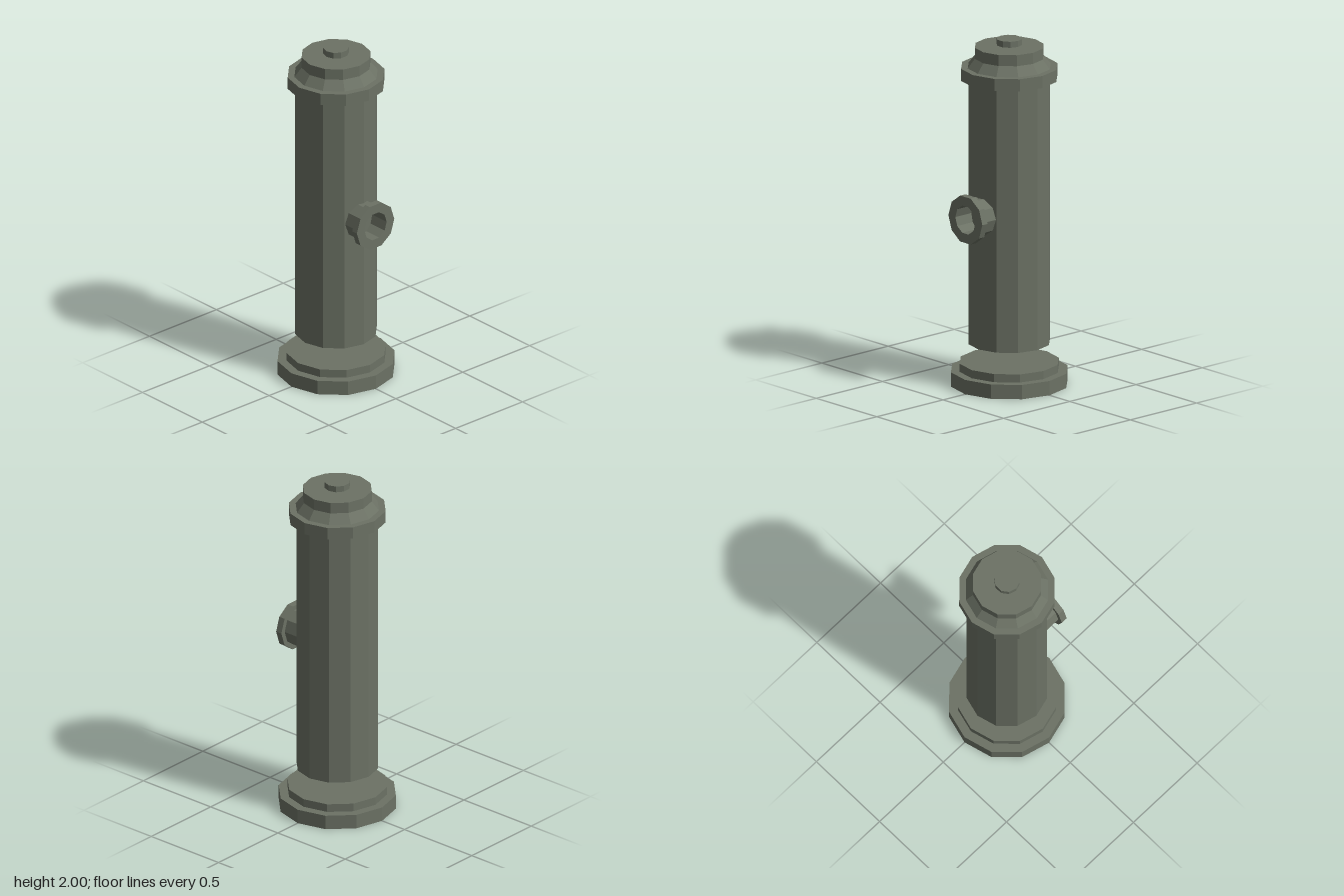
import * as THREE from 'three';

export function createModel() {
  const group = new THREE.Group();
  group.name = 'hydrant';
  const paint = new THREE.MeshStandardMaterial({ color: 0x6c7265 });
  paint.name = 'grey green paint';

  // Adds a mesh with hard facets
  function add(name, geometry) {
    const faceted = geometry.toNonIndexed();
    faceted.computeVertexNormals();
    const mesh = new THREE.Mesh(faceted, paint);
    mesh.name = name;
    group.add(mesh);
    return mesh;
  }

  // Upright discs and barrels: name, bottom y, top y, bottom radius, top radius, sides
  const stack = [
    ['baseFlange', 0, 0.083, 0.333, 0.333, 12],
    ['baseStep', 0.083, 0.13, 0.283, 0.283, 12],
    ['barrel', 0.24, 1.77, 0.232, 0.232, 12],
    ['rim', 1.77, 1.84, 0.275, 0.275, 12],
    ['shoulder', 1.84, 1.893, 0.237, 0.196, 12],
    ['cap', 1.893, 1.957, 0.196, 0.196, 12],
    ['topNut', 1.965, 2, 0.072, 0.072, 10],
  ];
  for (const [name, y0, y1, r0, r1, sides] of stack) {
    const mesh = add(name, new THREE.CylinderGeometry(r1, r0, y1 - y0, sides));
    mesh.position.y = (y0 + y1) / 2;
  }

  // Hollow side outlet with a flange, turned around its own axis and laid along +x
  const profile = [
    [0.083, 0.18], [0.112, 0.18], [0.112, 0.292], [0.14, 0.292],
    [0.14, 0.331], [0.083, 0.331], [0.083, 0.18],
  ].map(([r, h]) => new THREE.Vector2(r, h));
  const outlet = add('sideOutlet', new THREE.LatheGeometry(profile, 10));
  outlet.rotation.z = -Math.PI / 2;
  outlet.position.y = 1.01;

  return group;
}
